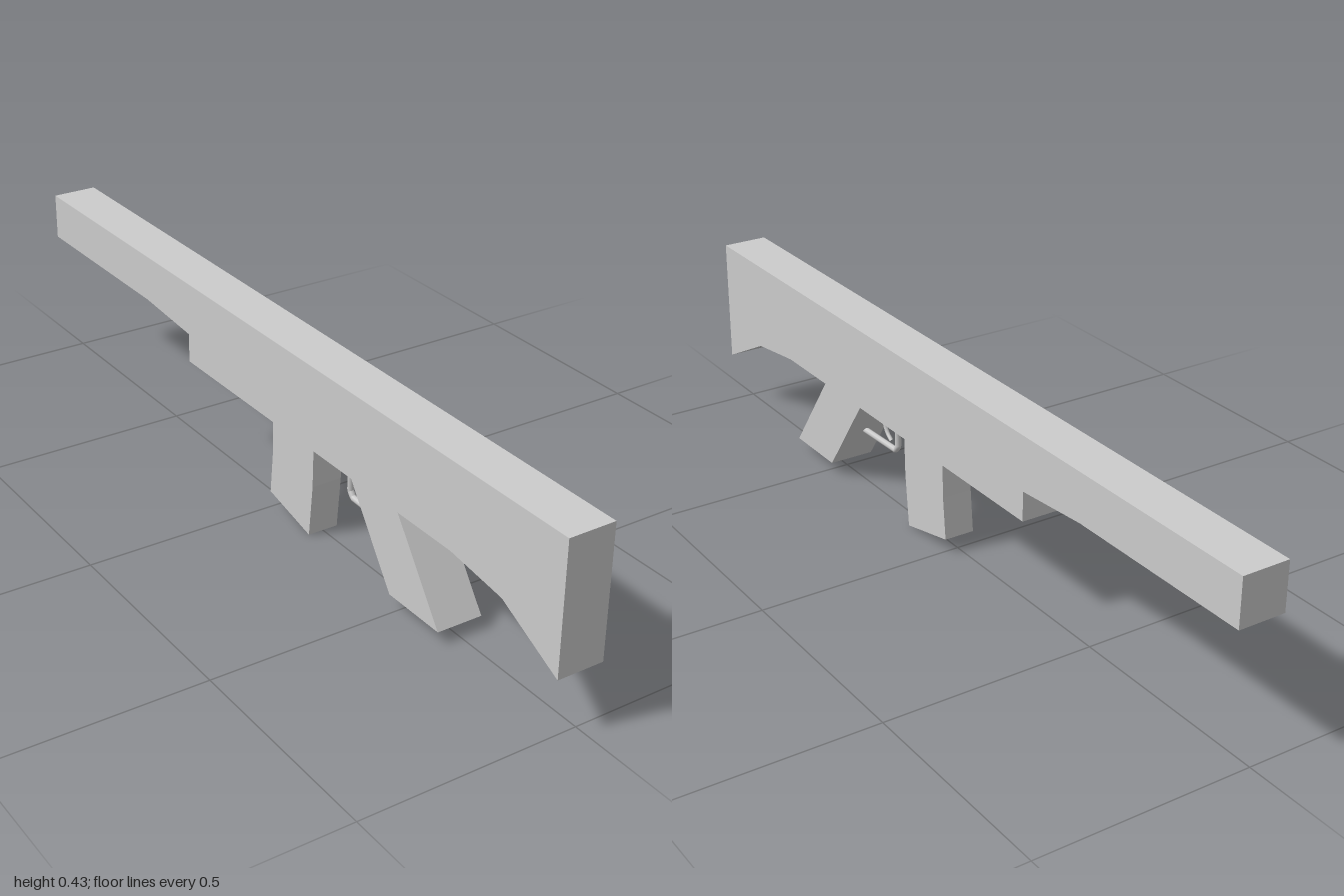
import * as THREE from 'three';

const material = new THREE.MeshStandardMaterial({ color: 0xcccccc, flatShading: true });
const smooth = new THREE.MeshStandardMaterial({ color: 0xcccccc });

// Side profile given as [z, y] points, extruded symmetrically across x
function slab(name, points, halfWidth) {
  const shape = new THREE.Shape(points.map(([z, y]) => new THREE.Vector2(z, y)));
  const geometry = new THREE.ExtrudeGeometry(shape, { depth: halfWidth * 2, bevelEnabled: false });
  geometry.translate(0, 0, -halfWidth).rotateY(-Math.PI / 2);
  const mesh = new THREE.Mesh(geometry, material);
  mesh.name = name;
  return mesh;
}

// Thin round rod along a curve
function rod(name, curve, segments, radius) {
  const mesh = new THREE.Mesh(new THREE.TubeGeometry(curve, segments, radius, 8), smooth);
  mesh.name = name;
  return mesh;
}

const at = ([z, y]) => new THREE.Vector3(0, y, z);

export function createModel() {
  const model = new THREE.Group();
  model.name = 'rifle';

  // Stock, receiver and barrel shroud in one body
  model.add(slab('body', [
    [1, 0.434], [1, 0.13], [0.83, 0.216], [0.67, 0.237], [-0.33, 0.237],
    [-0.33, 0.307], [-0.525, 0.322], [-1, 0.322], [-1, 0.434],
  ], 0.055));

  // Slanted hand grip
  model.add(slab('grip', [[0.497, 0.237], [0.643, 0.032], [0.477, 0.032], [0.333, 0.237]], 0.055));

  // Slightly curved magazine
  model.add(slab('magazine', [
    [0.166, 0.237], [0.163, 0.13], [0.15, 0.003], [-0.007, 0.038], [0.003, 0.14], [0.005, 0.237],
  ], 0.037));

  // Trigger guard: straight runs with a chamfered corner
  const guard = new THREE.CurvePath();
  const bends = [[0.41, 0.137], [0.265, 0.141], [0.254, 0.154], [0.254, 0.24]].map(at);
  for (let i = 1; i < bends.length; i++) guard.add(new THREE.LineCurve3(bends[i - 1], bends[i]));
  model.add(rod('triggerGuard', guard, 48, 0.0075));

  // Curved trigger
  const trigger = new THREE.CatmullRomCurve3([[0.315, 0.24], [0.314, 0.195], [0.303, 0.172], [0.284, 0.157]].map(at));
  model.add(rod('trigger', trigger, 12, 0.005));

  return model;
}
